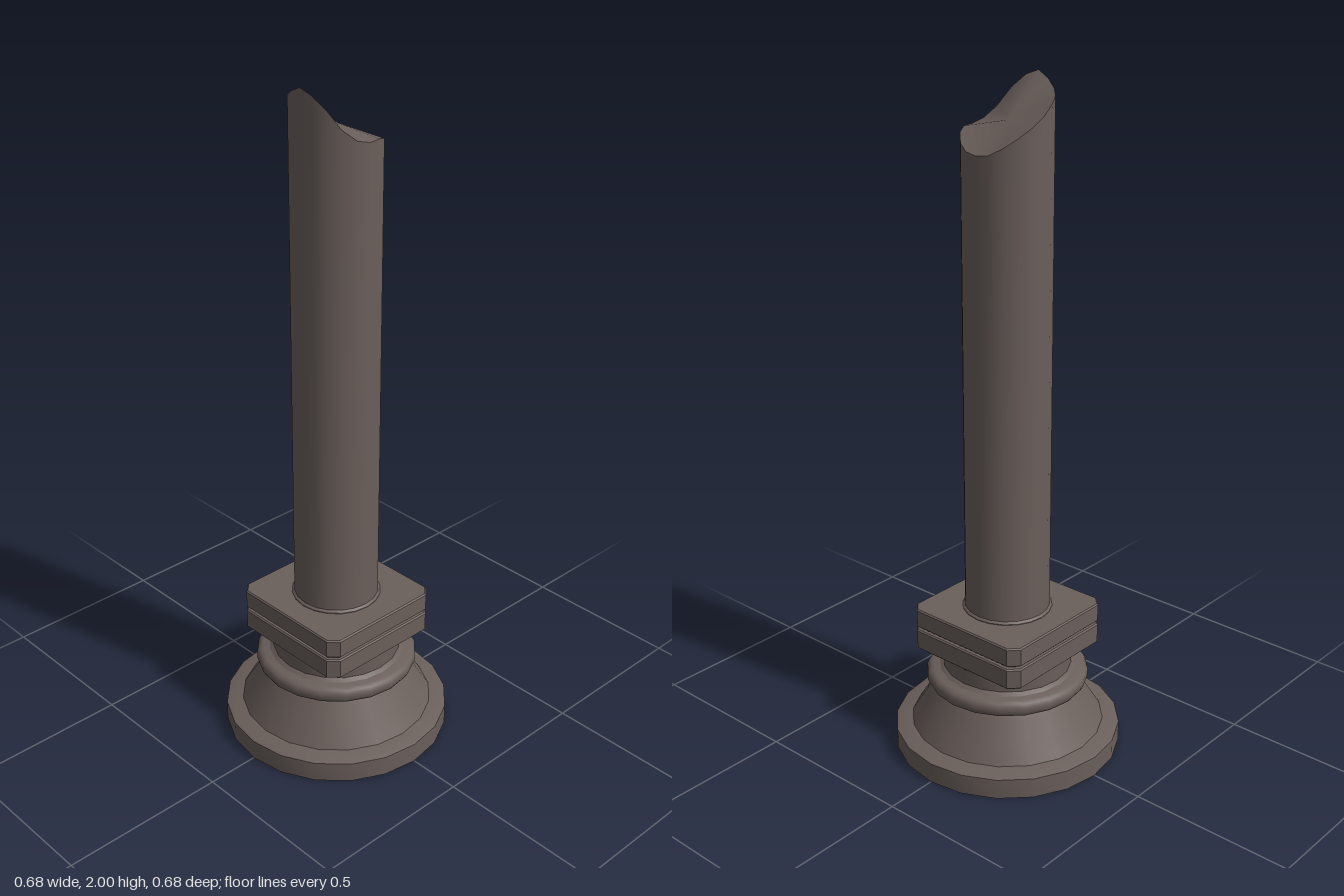
import * as THREE from 'three';
import { toCreasedNormals } from 'three/addons/utils/BufferGeometryUtils.js';

const SIDES = 20;

export function createModel() {
  const model = new THREE.Group();
  model.name = 'brokenColumn';
  const stone = new THREE.MeshStandardMaterial({ color: 0x6a5f5b });
  stone.name = 'dark stone';

  const add = (name, geometry, crease = 0.6) => {
    const mesh = new THREE.Mesh(toCreasedNormals(geometry, crease), stone);
    mesh.name = name;
    model.add(mesh);
    return mesh;
  };
  const lathe = (points) =>
    new THREE.LatheGeometry(points.map(([r, y]) => new THREE.Vector2(r, y)), SIDES);

  // Round foot with a flared cone
  add('foot', lathe([
    [0, 0], [0.34, 0], [0.34, 0.062], [0.325, 0.067], [0.29, 0.074],
    [0.252, 0.135], [0.224, 0.185], [0.212, 0.205], [0, 0.205],
  ]));

  // Rounded ring above the cone
  add('ring', lathe([
    [0, 0.204], [0.225, 0.204], [0.237, 0.211], [0.243, 0.222], [0.243, 0.238],
    [0.237, 0.249], [0.225, 0.255], [0, 0.255],
  ]), 0.8);

  // Neck with a small fillet at its bottom
  add('neck', lathe([[0, 0.25], [0.21, 0.25], [0.2, 0.258], [0.192, 0.264], [0.192, 0.325], [0, 0.325]]));

  // Square slabs with cut corners
  const slab = (name, half, cut, y0, y1, bevel) => {
    const h = half - bevel, c = h - cut;
    const shape = new THREE.Shape(
      [[c, -h], [h, -c], [h, c], [c, h], [-c, h], [-h, c], [-h, -c], [-c, -h]]
        .map(([x, y]) => new THREE.Vector2(x, y)));
    const geometry = new THREE.ExtrudeGeometry(shape, {
      depth: y1 - y0 - 2 * bevel, bevelEnabled: true,
      bevelSize: bevel, bevelThickness: bevel, bevelSegments: 1,
    });
    geometry.rotateX(-Math.PI / 2).translate(0, y0 + bevel, 0);
    add(name, geometry, 0.4);
  };
  slab('lowerSlab', 0.204, 0.026, 0.32, 0.384, 0.004);
  slab('slabGroove', 0.19, 0.026, 0.375, 0.4, 0.002);
  slab('upperSlab', 0.204, 0.026, 0.392, 0.451, 0.004);

  // Small collar where the shaft meets the slab
  add('collar', lathe([[0, 0.445], [0.133, 0.445], [0.133, 0.453], [0.126, 0.459], [0, 0.459]]));

  // Shaft with a broken slanting top; rim heights run from the front towards +x
  const rim = [
    2.0, 1.985, 1.95, 1.9, 1.87, 1.86, 1.86, 1.85, 1.83, 1.815,
    1.81, 1.815, 1.835, 1.86, 1.885, 1.91, 1.935, 1.95, 1.962, 1.982,
  ];
  const shaft = new THREE.CylinderGeometry(0.126, 0.126, 1, SIDES);
  const p = shaft.attributes.position;
  for (let i = 0; i < p.count; i++) {
    const x = p.getX(i), z = p.getZ(i);
    const k = (Math.round(Math.atan2(x, z) / (2 * Math.PI) * SIDES) + SIDES) % SIDES;
    const top = Math.hypot(x, z) < 0.01 ? 1.885 : rim[k];
    p.setY(i, p.getY(i) > 0 ? top : 0.45);
  }
  add('shaft', shaft);

  return model;
}
